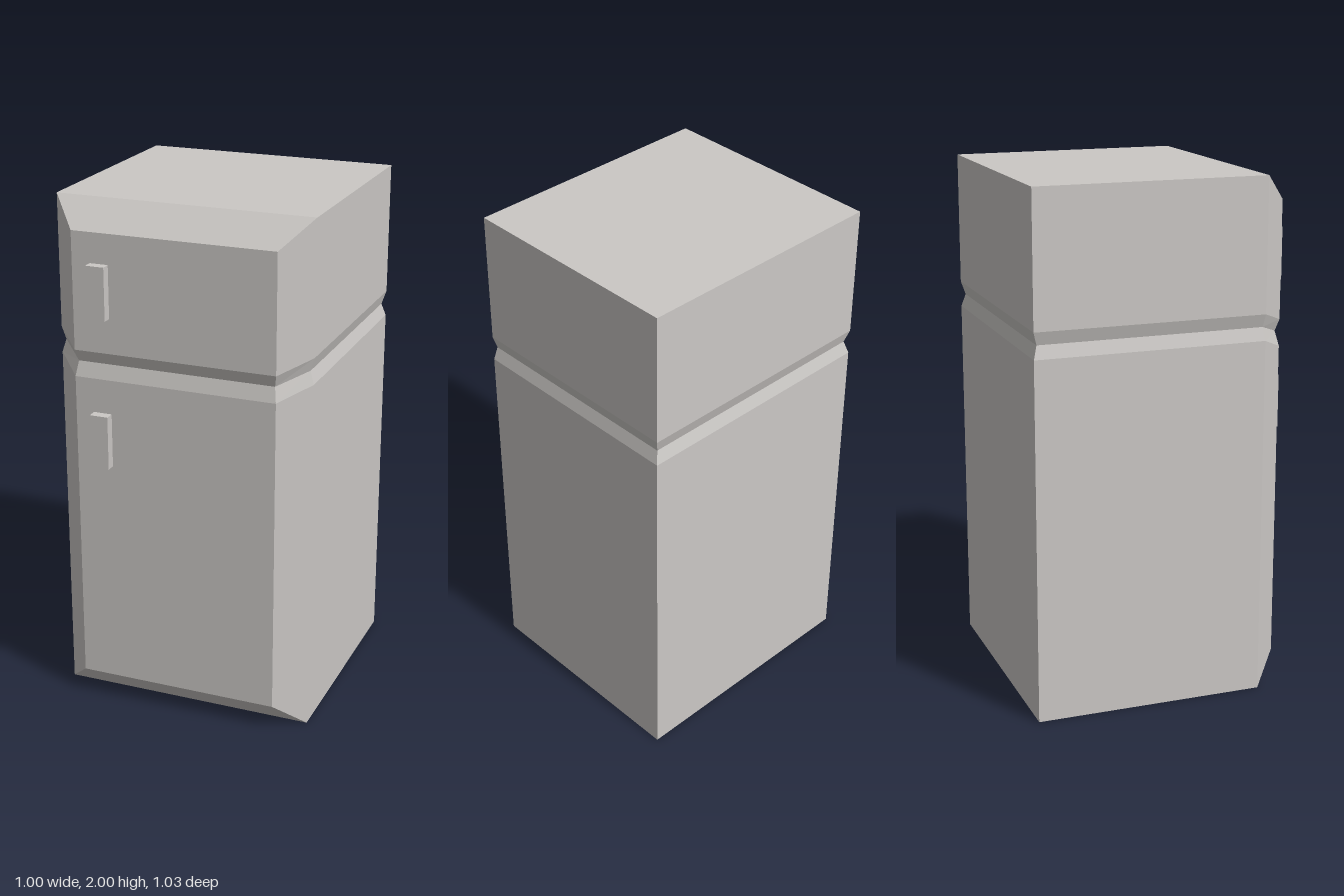
import * as THREE from 'three';

const enamel = new THREE.MeshStandardMaterial({ color: 0xcbc8c5 });
enamel.name = 'greyEnamel';

// Six-point cross-section: front edge, side edges and back; the front has its own height
function ring(sideY, frontY, inset = 0) {
  const f = 0.395 - inset * 0.6, s = 0.5 - inset;
  const frontZ = 0.48 - inset, sideZ = 0.375 - inset * 0.4, backZ = -0.517 + inset;
  return [
    [-f, frontY, frontZ], [f, frontY, frontZ], [s, sideY, sideZ],
    [s, sideY, backZ], [-s, sideY, backZ], [-s, sideY, sideZ],
  ];
}

// Cabinet with bevelled front and a V groove between the two doors
function cabinetGeometry() {
  const rings = [
    ring(0, 0.105),
    ring(1.39, 1.34),
    ring(1.44, 1.398, 0.015),
    ring(1.49, 1.443),
    ring(2, 1.895),
  ];
  const positions = [];
  const quad = (a, b, c, d) => positions.push(...a, ...b, ...c, ...a, ...c, ...d);

  // Walls
  for (let i = 0; i < rings.length - 1; i++) {
    for (let j = 0; j < 6; j++) {
      const k = (j + 1) % 6;
      quad(rings[i][j], rings[i][k], rings[i + 1][k], rings[i + 1][j]);
    }
  }
  // Bottom bevel and underside, top bevel and roof
  const b = rings[0], t = rings[rings.length - 1];
  quad(b[5], b[2], b[1], b[0]);
  quad(b[4], b[3], b[2], b[5]);
  quad(t[0], t[1], t[2], t[5]);
  quad(t[5], t[2], t[3], t[4]);

  const geometry = new THREE.BufferGeometry();
  geometry.setAttribute('position', new THREE.Float32BufferAttribute(positions, 3));
  geometry.computeVertexNormals();
  return geometry;
}

export function createModel() {
  const model = new THREE.Group();
  model.name = 'refrigerator';

  const cabinet = new THREE.Mesh(cabinetGeometry(), enamel);
  cabinet.name = 'cabinet';
  model.add(cabinet);

  // Door handles
  for (const [name, bottom, top] of [['freezerHandle', 1.578, 1.78], ['fridgeHandle', 1.0, 1.208]]) {
    const handle = new THREE.Mesh(new THREE.BoxGeometry(0.072, top - bottom, 0.037), enamel);
    handle.name = name;
    handle.position.set(-0.287, (bottom + top) / 2, 0.4985);
    model.add(handle);
  }
  return model;
}
